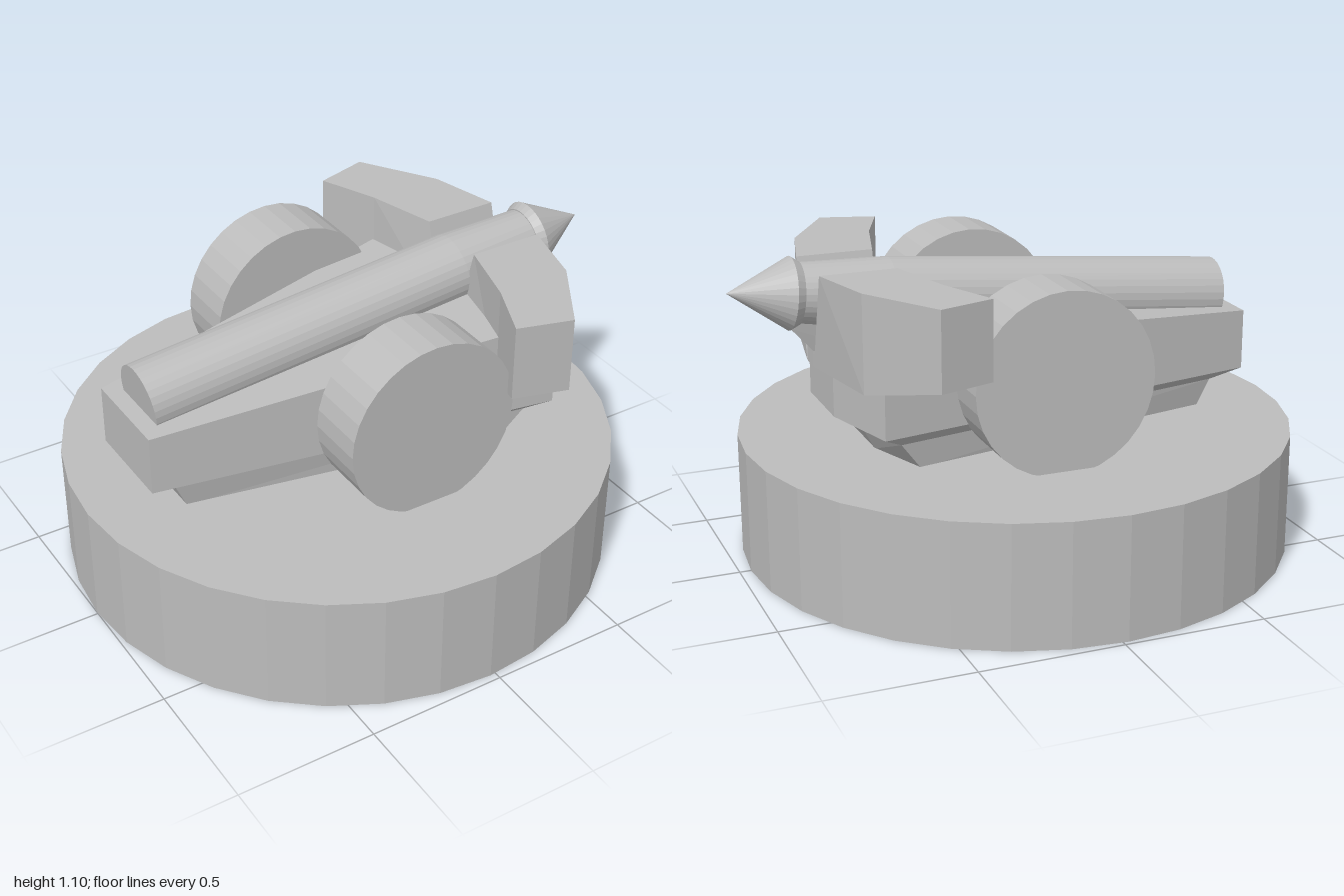
import * as THREE from 'three';

const grey = new THREE.MeshStandardMaterial({ color: 0xbcbcbc, flatShading: true });
grey.name = 'plain grey';

function addMesh(parent, name, geometry) {
  const mesh = new THREE.Mesh(geometry, grey);
  mesh.name = name;
  parent.add(mesh);
  return mesh;
}

// Faceted solid through rings of points; rings run counter-clockwise seen from the last one
function loft(rings) {
  const pos = [];
  const tri = (...pts) => pts.forEach((p) => pos.push(...p));
  const n = rings[0].length;
  for (let i = 0; i < rings.length - 1; i++) {
    for (let j = 0; j < n; j++) {
      const k = (j + 1) % n;
      tri(rings[i][j], rings[i][k], rings[i + 1][k]);
      tri(rings[i][j], rings[i + 1][k], rings[i + 1][j]);
    }
  }
  const first = rings[0], last = rings[rings.length - 1];
  for (let j = 1; j < n - 1; j++) {
    tri(first[0], first[j + 1], first[j]);
    tri(last[0], last[j], last[j + 1]);
  }
  const geometry = new THREE.BufferGeometry();
  geometry.setAttribute('position', new THREE.Float32BufferAttribute(pos, 3));
  geometry.computeVertexNormals();
  return geometry;
}

// Six-sided plan of the carriage at one height
function carriageRing(height, back, backHalf, corner, cornerHalf, front, frontHalf) {
  return [
    [front, frontHalf], [front, -frontHalf], [corner, -cornerHalf],
    [back, -backHalf], [back, backHalf], [corner, cornerHalf],
  ].map(([x, z]) => [x, height(x), z]);
}

export function createModel() {
  const model = new THREE.Group();
  model.name = 'turntableCannon';

  // Round base
  const base = addMesh(model, 'base', new THREE.CylinderGeometry(0.98, 0.98, 0.435, 32));
  base.position.set(-0.02, 0.2175, -0.005);

  // Carriage: narrow foot, flared underside and a body with a sloping top
  addMesh(model, 'carriage', loft([
    carriageRing(() => 0.43, -0.69, 0.12, 0.45, 0.345, 0.535, 0.11),
    carriageRing(() => 0.53, -0.735, 0.13, 0.525, 0.37, 0.59, 0.12),
    carriageRing(() => 0.575, -0.84, 0.175, 0.6, 0.435, 0.685, 0.14),
    carriageRing((x) => 0.79 + 0.083 * (x + 0.84), -0.84, 0.175, 0.6, 0.435, 0.685, 0.14),
  ]));

  // Side wheels
  for (const [name, z] of [['leftWheel', 0.435], ['rightWheel', -0.455]]) {
    const wheel = addMesh(model, name, new THREE.CylinderGeometry(0.318, 0.318, 0.22, 32));
    wheel.rotation.x = Math.PI / 2;
    wheel.position.set(0.02, 0.735, z);
  }

  // Swept shield, one half on each side of a V-shaped notch
  const top = 1.065;
  for (const side of [1, -1]) {
    const rings = [
      [[0.45, 0.725, 0.04], [0.72, 0.725, 0.04], [0.72, top, 0.137], [0.45, top, 0.137]],
      [[0.38, 0.725, 0.39], [0.655, 0.725, 0.39], [0.655, top, 0.39], [0.38, top, 0.39]],
      [[0.29, 0.79, 0.6], [0.485, 0.79, 0.657], [0.485, top, 0.657], [0.29, top, 0.6]],
    ].map((ring) => ring.map(([x, y, z]) => [x, y, z * side]));
    if (side < 0) rings.reverse();
    addMesh(model, side > 0 ? 'frontShield' : 'backShield', loft(rings));
  }

  // Bracket filling the notch and reaching up beneath the nose
  const bracket = [[0.45, 0.725], [0.72, 0.725], [0.72, 0.78], [0.8, 0.87], [0.8, 0.95], [0.45, 0.92]];
  const bracketHalf = (y) => 0.035 + Math.max(0, y - 0.78) * 0.15;
  addMesh(model, 'noseBracket', loft([-1, 1].map((s) =>
    bracket.map(([x, y]) => [x, y, s * bracketHalf(y)]))));

  // Raised barrel with a tapered neck, and its pointed nose
  const barrel = new THREE.Group();
  barrel.name = 'barrel';
  barrel.position.set(-0.785, 0.824, 0);
  barrel.rotation.z = Math.atan(0.098) - Math.PI / 2;
  const turned = (name, profile) => addMesh(barrel, name, new THREE.LatheGeometry(
    profile.map(([r, y]) => new THREE.Vector2(r, y)), 32));
  turned('barrelTube', [[0, 0], [0.125, 0], [0.125, 1.24], [0.103, 1.57], [0, 1.57]]);
  turned('barrelNose', [[0, 1.55], [0.108, 1.55], [0.125, 1.58], [0, 1.793]]);
  model.add(barrel);

  return model;
}
